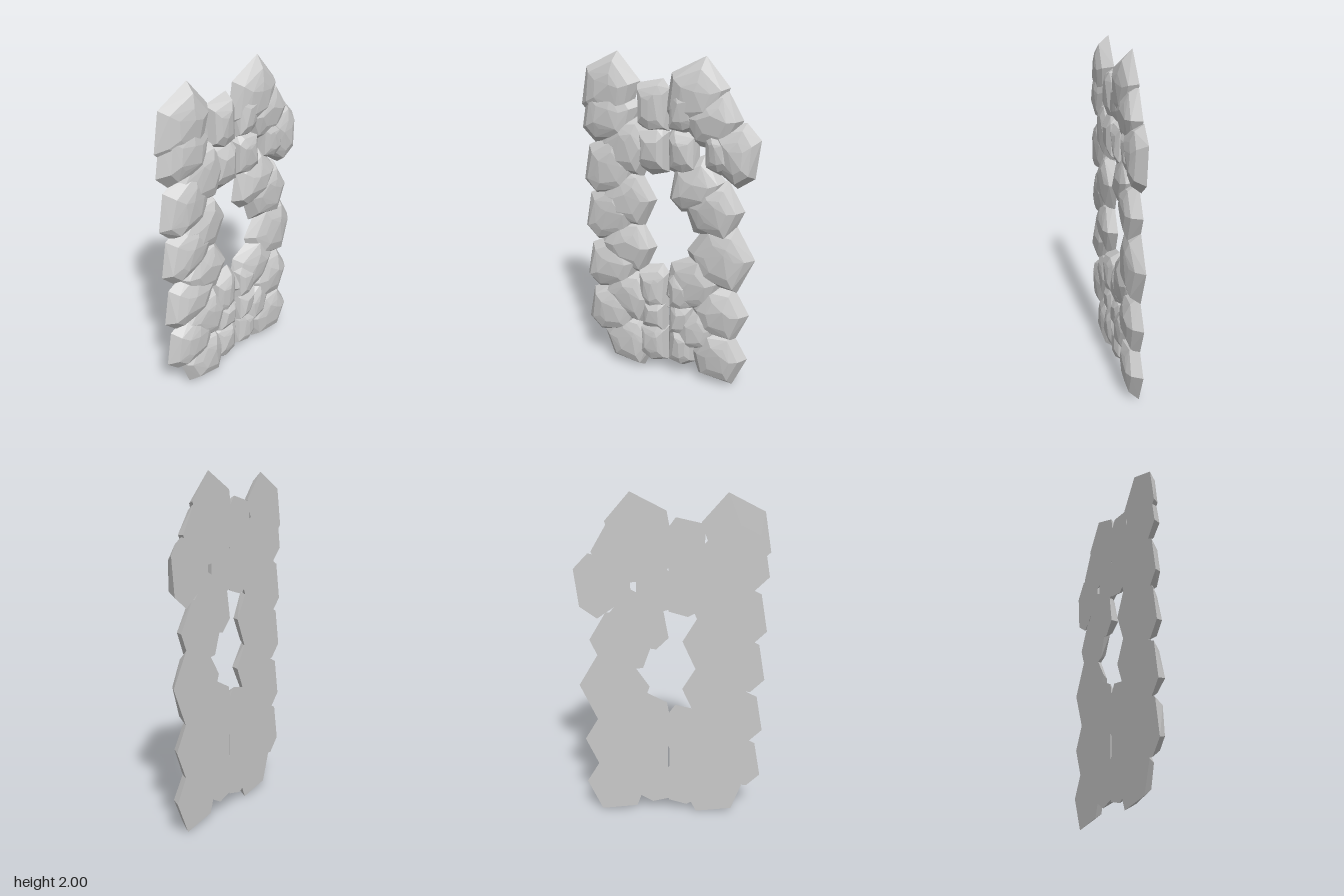
import * as THREE from 'three';
import { ConvexGeometry } from 'three/addons/geometries/ConvexGeometry.js';

// Stone outlines as [u, v] about the stone centre (u runs towards -z, v is up)
const OUTLINES = {
  peaked: [[-0.2, -0.1], [-0.16, 0.12], [0.04, 0.22], [0.18, 0.06], [0.11, -0.15], [-0.12, -0.18]],
  broad: [[0.16, 0.01], [0.07, -0.19], [-0.15, -0.16], [-0.21, 0.01], [-0.1, 0.17], [0.06, 0.18]],
  block: [[-0.1, 0.12], [0.06, 0.155], [0.1, 0.1], [0.1, -0.14], [-0.01, -0.17], [-0.1, -0.12]],
  side: [[0.06, 0.19], [0.145, 0.1], [0.12, -0.12], [0.02, -0.19], [-0.12, -0.09], [-0.12, 0.15]],
};
const BACK = -0.043;

// Each stone: [outline, u, v, scale, mirrored]
const COLUMNS = {
  leftColumnStone: [
    ...[0.38, 0.69, 1.02, 1.32, 1.64, 1.78].map((v) => ['peaked', -0.35, v, 1]),
    ...[0.19, 0.5, 0.84, 1.14, 1.46].map((v) => ['broad', -0.23, v, 1]),
  ],
  rightColumnStone: [
    ['peaked', 0.18, 1.78, 1],
    ['peaked', 0.19, 1.26, 0.9],
    ['peaked', 0.18, 0.64, 1],
    ['peaked', 0.2, 0.34, 0.8],
    ['broad', 0.36, 0.19, 1],
    ['broad', 0.36, 0.49, 1],
    ['broad', 0.36, 0.85, 1.13],
    ['broad', 0.31, 1.14, 1],
    ['broad', 0.29, 1.66, 0.95],
    ['side', 0.4, 1.47, 1],
    ['block', 0.31, 1.49, 0.85, true],
  ],
  crossbarStone: [1.71, 1.47, 0.59, 0.22].flatMap((v) => [
    ['block', -0.09, v, 1],
    ['block', 0.1, v, 0.92, true],
  ]).concat([['block', 0.1, 0.41, 0.85, true], ['block', -0.08, 0.41, 0.85]]),
};

// Faceted stone: flat back, sloping shoulder and a low, uneven crown
function stoneGeometry(outline, scale, mirrored, seed) {
  const points = [];
  const addRing = (inset, height, wobble) => outline.forEach(([u, v], i) => {
    const k = scale * (inset + wobble * Math.sin(i * 2.4 + seed));
    const x = height + wobble * 0.12 * Math.sin(i * 1.7 + seed * 2.1);
    points.push(new THREE.Vector3(x, v * k, (mirrored ? 1 : -1) * u * k));
  });
  addRing(1, BACK, 0);
  addRing(0.76, 0.012, 0.05);
  addRing(0.45, 0.032, 0.05);
  points.push(new THREE.Vector3(0.041, 0.04 * scale, 0.02 * Math.sin(seed)));
  return new ConvexGeometry(points);
}

export function createModel() {
  const group = new THREE.Group();
  group.name = 'stoneRelief';
  const material = new THREE.MeshStandardMaterial({ color: 0xcccccc, flatShading: true });

  for (const [name, stones] of Object.entries(COLUMNS)) {
    stones.forEach(([type, u, v, scale, mirrored], i) => {
      const stone = new THREE.Mesh(stoneGeometry(OUTLINES[type], scale, mirrored, i * 0.9), material);
      stone.name = name;
      stone.position.set(0, v, -u);
      group.add(stone);
    });
  }
  return group;
}
